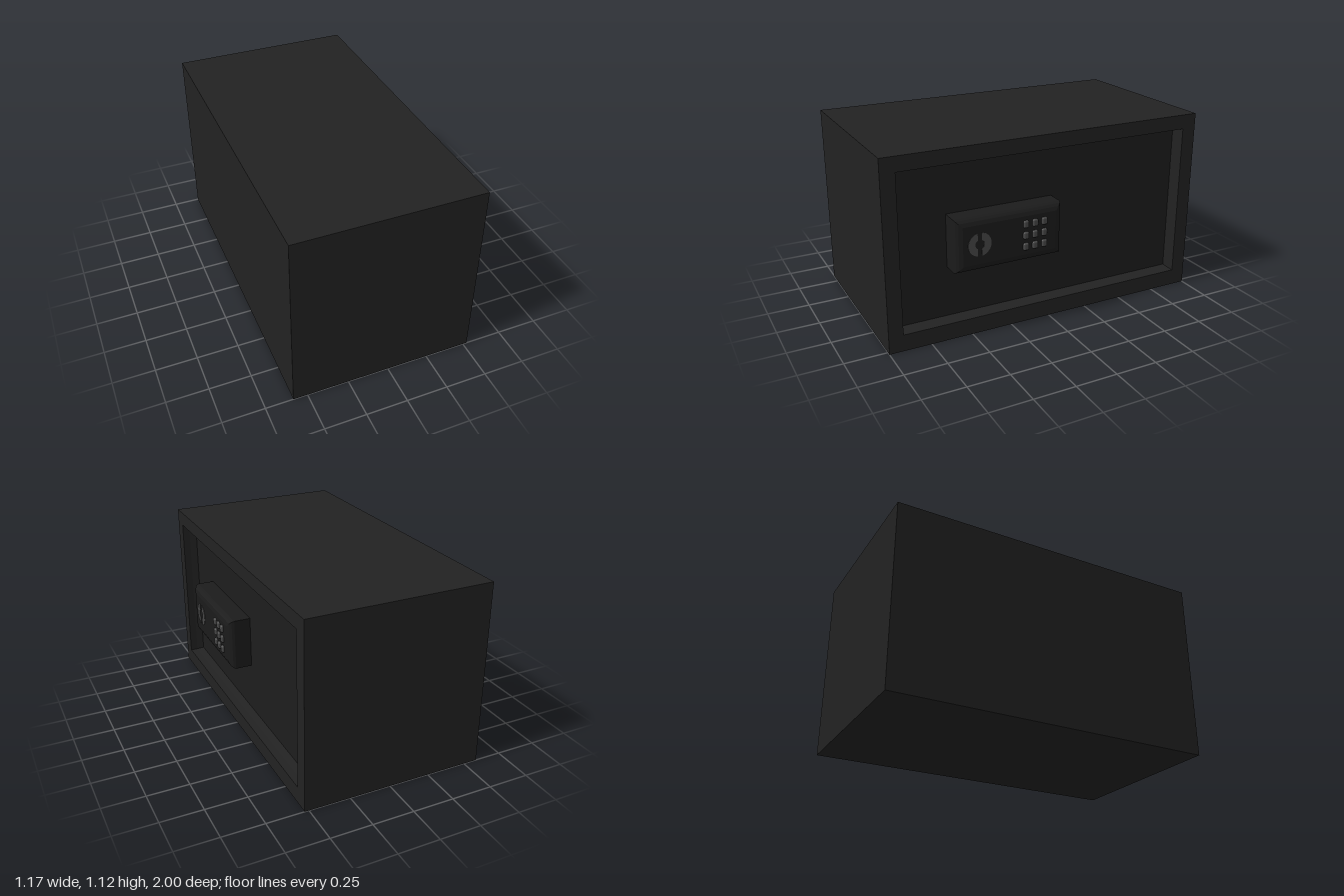
import * as THREE from 'three';
import { RoundedBoxGeometry } from 'three/addons/geometries/RoundedBoxGeometry.js';

const paint = (color) => new THREE.MeshStandardMaterial({ color });

// Joins rectangular sections [x, z0, z1, y0, y1] along x, with flat faces
function loftRects(sections, capStart, capEnd) {
  const pos = [];
  const loops = sections.map(([x, z0, z1, y0, y1]) => [
    [x, y0, z1], [x, y0, z0], [x, y1, z0], [x, y1, z1],
  ]);
  const quad = (a, b, c, d) => pos.push(...a, ...b, ...c, ...a, ...c, ...d);
  for (let s = 0; s < loops.length - 1; s++) {
    const A = loops[s], B = loops[s + 1];
    for (let i = 0; i < 4; i++) {
      const j = (i + 1) % 4;
      quad(A[i], A[j], B[j], B[i]);
    }
  }
  if (capStart) quad(...[...loops[0]].reverse());
  if (capEnd) quad(...loops[loops.length - 1]);
  const geo = new THREE.BufferGeometry();
  geo.setAttribute('position', new THREE.Float32BufferAttribute(pos, 3));
  geo.computeVertexNormals();
  return geo;
}

export function createModel() {
  const model = new THREE.Group();
  const bodyMat = paint(0x222222);
  const doorMat = paint(0x1d1d1d);
  const panelMat = paint(0x1b1b1b);
  const keyMat = paint(0x484848);

  const add = (name, geo, mat, parent = model) => {
    const mesh = new THREE.Mesh(geo, mat);
    mesh.name = name;
    parent.add(mesh);
    return mesh;
  };

  // Cabinet: outer box, front rim and the stepped walls of the door recess
  const doorX = 0.435;
  add('cabinet', loftRects([
    [-0.585, -1, 1, 0, 1.125],
    [0.525, -1, 1, 0, 1.125],
    [0.525, -0.912, 0.914, 0.1, 1.038],
    [0.48, -0.912, 0.914, 0.1, 1.038],
    [doorX, -0.907, 0.909, 0.105, 1.033],
  ], true, false), bodyMat);

  // Door set back inside the rim
  add('door', loftRects([
    [doorX - 0.04, -0.907, 0.909, 0.105, 1.033],
    [doorX, -0.907, 0.909, 0.105, 1.033],
  ], true, true), doorMat);

  // Lock housing with bevelled front edges: [x, inset]
  const bevel = [[doorX, 0], [0.535, 0], [0.55, 0.006], [0.562, 0.02], [0.57, 0.042]];
  add('lockHousing', loftRects(
    bevel.map(([x, d]) => [x, -0.052 + d, 0.61 - d, 0.41 + d, 0.726 - d]),
    false, true), panelMat);

  // Knob: two crescents around a dark centre
  const knob = new THREE.Group();
  knob.name = 'knob';
  knob.position.set(0.569, 0.57, 0.468);
  knob.rotation.y = Math.PI / 2;
  for (const side of [0, Math.PI]) {
    const a = Math.PI / 2 - 0.2;
    const crescent = new THREE.Shape();
    crescent.absarc(0, 0, 0.07, side - a, side + a, false);
    crescent.absarc(0, 0, 0.028, side + a - 0.25, side - a + 0.25, true);
    crescent.closePath();
    add('knobHalf', new THREE.ExtrudeGeometry(crescent, {
      depth: 0.004, bevelEnabled: false, curveSegments: 16,
    }), keyMat, knob);
  }
  model.add(knob);

  // Keypad: three by three rounded keys
  const keypad = new THREE.Group();
  keypad.name = 'keypad';
  const keyGeo = new RoundedBoxGeometry(0.03, 0.044, 0.034, 3, 0.01);
  for (const y of [0.502, 0.57, 0.638]) {
    for (const z of [0.066, 0.125, 0.183]) {
      add('key', keyGeo, keyMat, keypad).position.set(0.569, y, z);
    }
  }
  model.add(keypad);

  return model;
}
